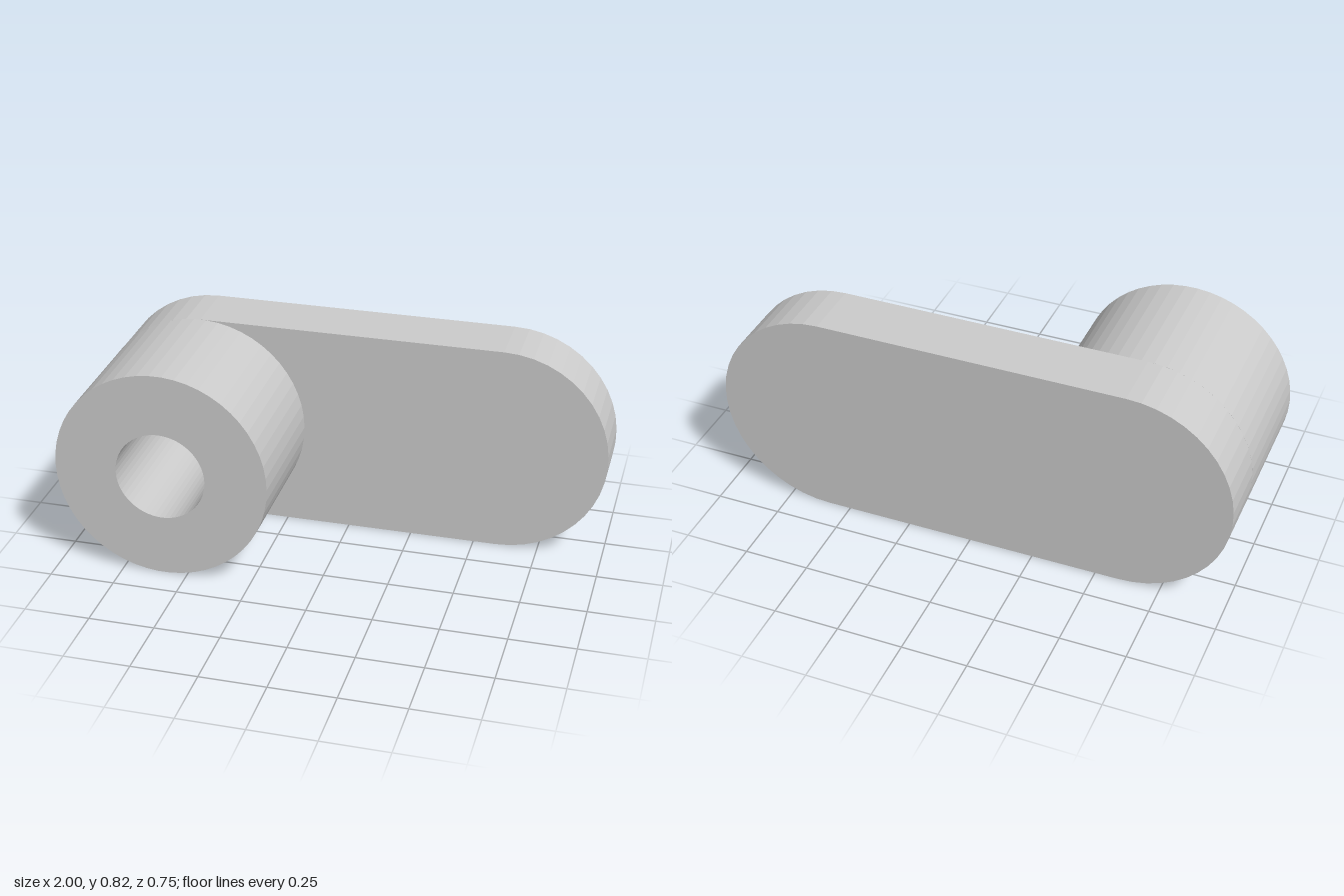
import * as THREE from 'three';

const R = 0.411;       // outer radius of plate ends and boss
const HOLE_R = 0.173;  // bore radius
const CX = 0.589;      // distance of end centres from the middle
const BACK = -0.377, STEP = -0.14, FRONT = 0.377;

// Points along an arc, n segments
function arc(cx, r, start, sweep, n) {
  return Array.from({ length: n + 1 }, (_, i) => {
    const a = start + (sweep * i) / n;
    return new THREE.Vector2(cx + r * Math.cos(a), R + r * Math.sin(a));
  });
}

function extrude(name, shape, z0, z1) {
  const geometry = new THREE.ExtrudeGeometry(shape, { depth: z1 - z0, bevelEnabled: false });
  geometry.translate(0, 0, z0);
  const material = new THREE.MeshStandardMaterial({ color: 0xcccccc, flatShading: true });
  const mesh = new THREE.Mesh(geometry, material);
  mesh.name = name;
  return mesh;
}

export function createModel() {
  const group = new THREE.Group();
  group.name = 'crankArm';

  // Flat arm with two rounded ends
  const plate = new THREE.Shape([
    ...arc(CX, R, -Math.PI / 2, Math.PI, 23),
    ...arc(-CX, R, Math.PI / 2, Math.PI, 23),
  ]);
  group.add(extrude('armPlate', plate, BACK, STEP));

  // Round boss with a blind bore that ends at the plate
  const ring = new THREE.Shape(arc(-CX, R, 0, Math.PI * 2, 54).slice(0, -1));
  ring.holes.push(new THREE.Path(arc(-CX, HOLE_R, 0, Math.PI * 2, 54).slice(0, -1)));
  group.add(extrude('boss', ring, STEP, FRONT));

  return group;
}
